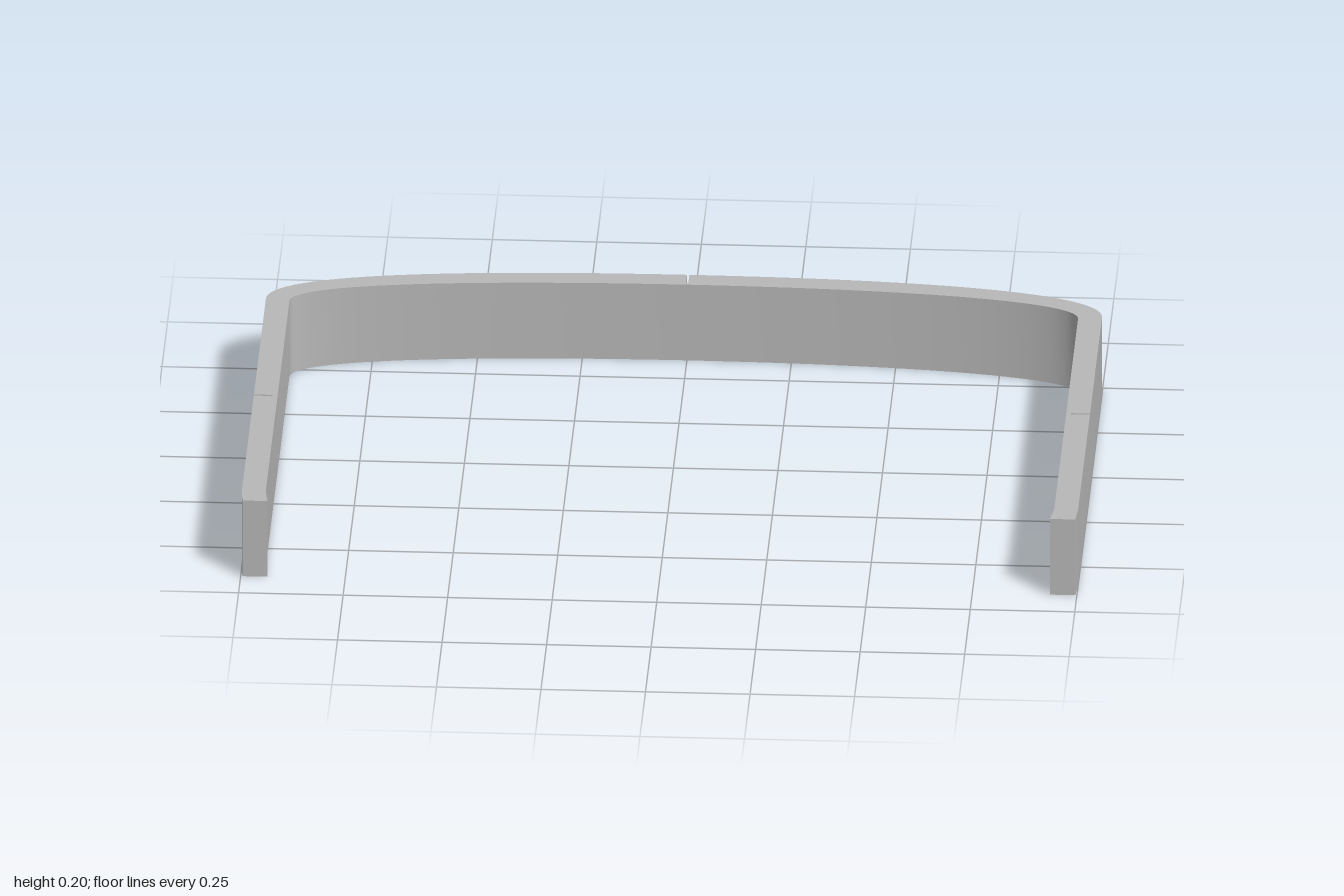
import * as THREE from 'three';
import { toCreasedNormals } from 'three/addons/utils/BufferGeometryUtils.js';

const HEIGHT = 0.2;
const GROOVE = 0.003; // half width of the thin grooves

// Points along a cubic curve, given as [x, z] control points
function curve(...c) {
  return new THREE.CubicBezierCurve(...c.map(([x, z]) => new THREE.Vector2(x, z))).getPoints(28);
}

// Left half of the plan outline in (x, z): outer wall, tip, inner wall
function halfOutline() {
  const v = (x, z) => new THREE.Vector2(x, z);
  return [
    // half of the rear groove
    v(GROOVE, -0.612),
    ...curve([GROOVE, -0.657], [0.52, -0.657], [1, -0.615], [1, -0.472]),
    // side groove
    v(1, 0.068 - GROOVE), v(0.955, 0.068 - GROOVE),
    v(0.955, 0.068 + GROOVE), v(1, 0.068 + GROOVE),
    // slightly thickened tip
    v(1, 0.6), v(0.996, 0.657), v(0.936, 0.657), v(0.943, 0.6),
    ...curve([0.943, -0.462], [0.943, -0.56], [0.5, -0.602], [0, -0.602]),
  ];
}

export function createModel() {
  const model = new THREE.Group();
  model.name = 'wraparoundBand';
  const grey = new THREE.MeshStandardMaterial({ color: 0xb8b8b8 });
  grey.name = 'grey';

  // Mirror the half, skipping the shared point on the centre line
  const half = halfOutline();
  const mirrored = half.slice(0, -1).reverse().map((p) => new THREE.Vector2(-p.x, p.y));
  const outline = [...half, ...mirrored].map((p) => new THREE.Vector2(p.x, -p.y));

  // Extrude the plan upwards; smooth around the bends, sharp at the rims
  const solid = new THREE.ExtrudeGeometry(new THREE.Shape(outline), {
    depth: HEIGHT, bevelEnabled: false,
  });
  solid.rotateX(-Math.PI / 2);
  const band = new THREE.Mesh(toCreasedNormals(solid, Math.PI / 6), grey);
  band.name = 'band';
  model.add(band);
  return model;
}
